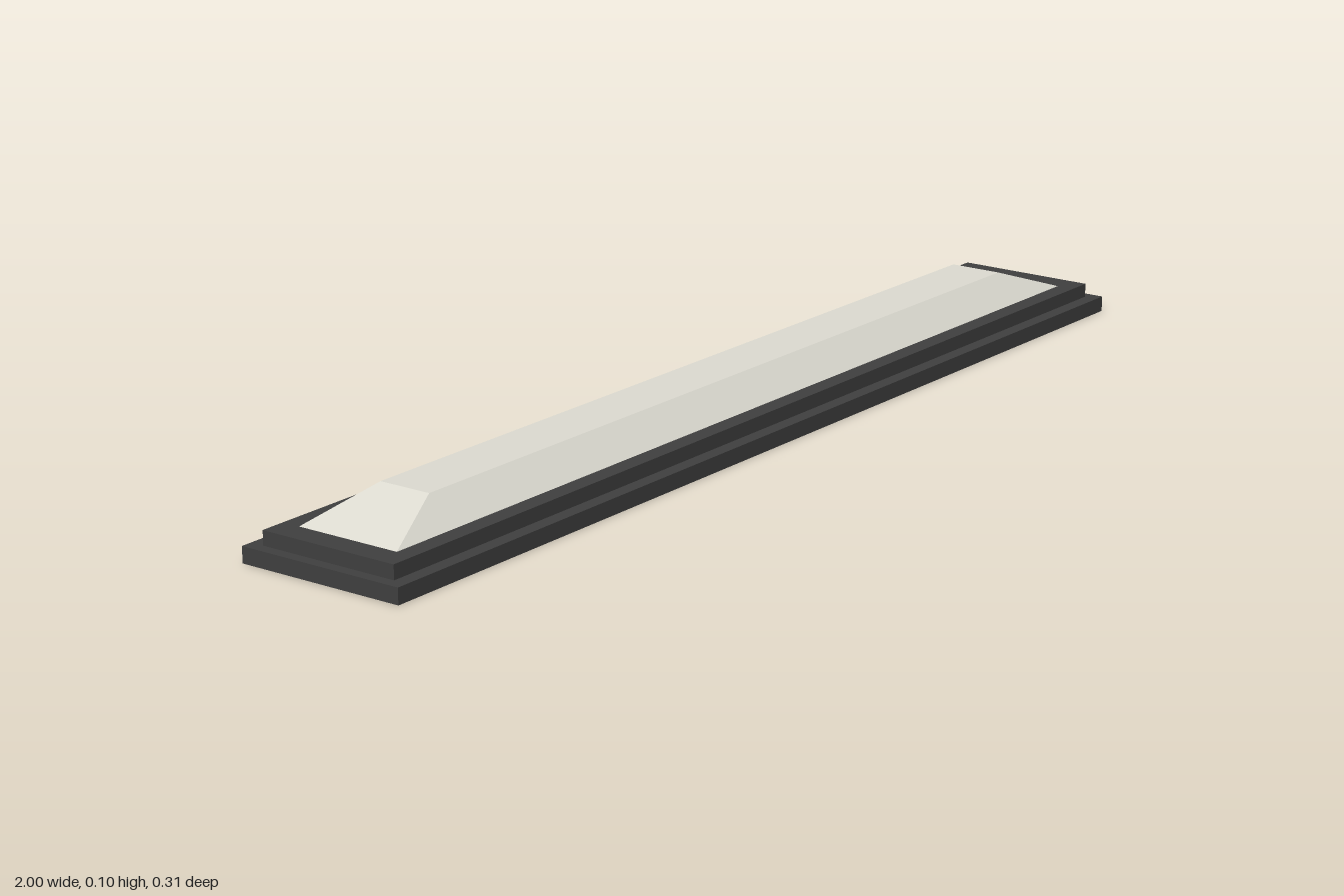
import * as THREE from 'three';

const housing = new THREE.MeshStandardMaterial({ color: 0x404040 });
housing.name = 'charcoal housing';
const diffuser = new THREE.MeshStandardMaterial({ color: 0xdddbd1 });
diffuser.name = 'warm white diffuser';

// Box from y0 to y1 whose top can be narrower than its bottom
function taperedBox(name, material, y0, y1, [bottomX, bottomZ], [topX, topZ] = [bottomX, bottomZ]) {
  const geometry = new THREE.BoxGeometry(2, y1 - y0, 2);
  const p = geometry.attributes.position;
  for (let i = 0; i < p.count; i++) {
    const top = p.getY(i) > 0;
    p.setX(i, p.getX(i) * (top ? topX : bottomX));
    p.setZ(i, p.getZ(i) * (top ? topZ : bottomZ));
  }
  geometry.computeVertexNormals();
  const mesh = new THREE.Mesh(geometry, material);
  mesh.name = name;
  mesh.position.y = (y0 + y1) / 2;
  return mesh;
}

export function createModel() {
  const group = new THREE.Group();
  group.name = 'stripLight';
  group.add(
    // Two stepped tiers of the housing
    taperedBox('basePlate', housing, 0, 0.028, [1, 0.156]),
    taperedBox('upperFrame', housing, 0.028, 0.053, [0.98, 0.131]),
    // Sloped light cover
    taperedBox('lightCover', diffuser, 0.053, 0.1, [0.935, 0.098], [0.803, 0.049]),
  );
  return group;
}
